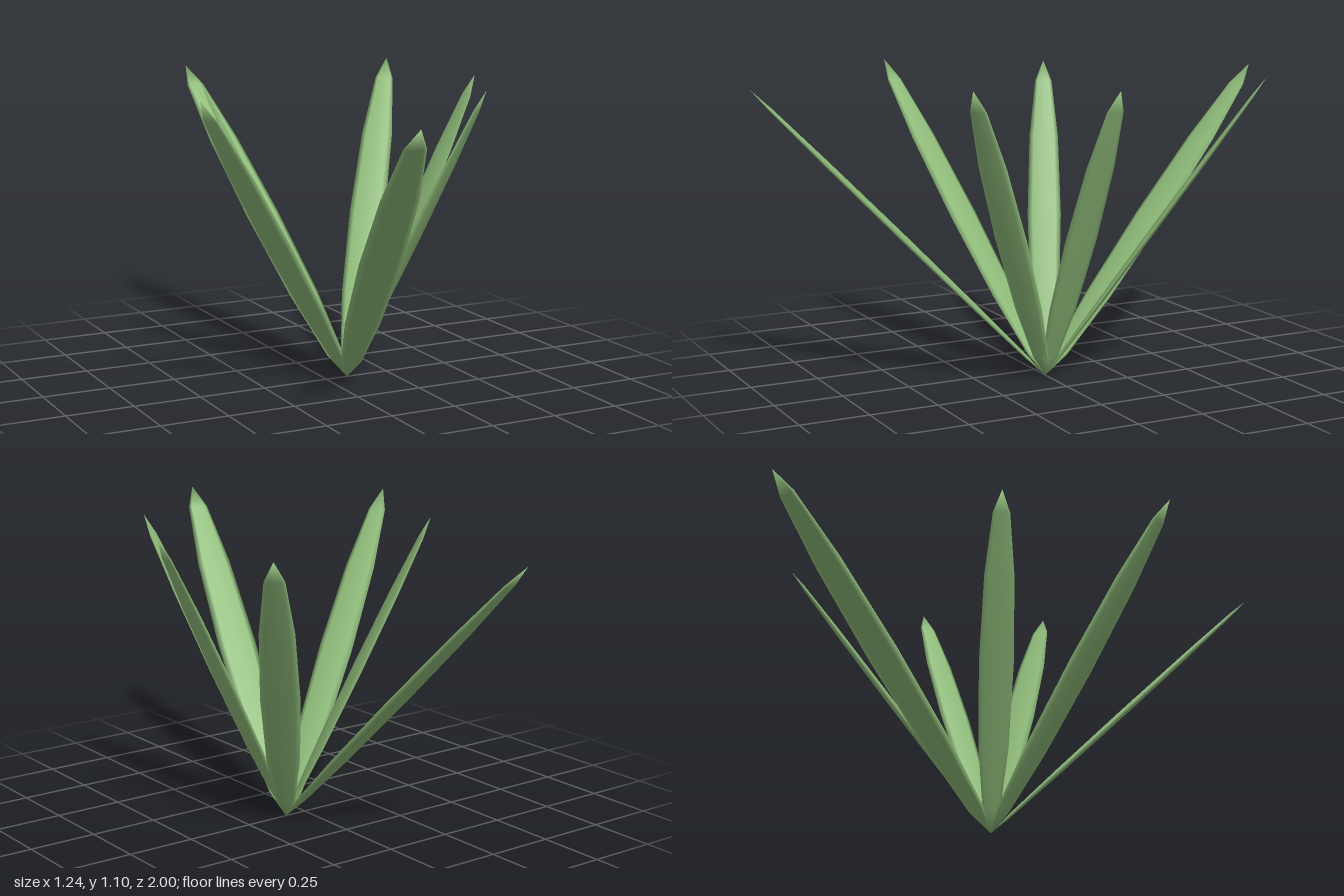
import * as THREE from 'three';

// All blades grow from one point
const BASE = new THREE.Vector3(0.085, 0, 0);

// Blade tips: x, y, z
const TIPS = [
  [0.615, 1.09, 0],
  [0.4, 1.09, 0.43],
  [-0.18, 1.065, 0.995],
  [-0.62, 1.1, 0.32],
  [-0.385, 1.09, -0.235],
  [-0.13, 1.065, -1.0],
  [0.57, 1.1, -0.6],
];

export function createModel() {
  const plant = new THREE.Group();
  plant.name = 'spikyPlant';
  const material = new THREE.MeshStandardMaterial({ color: 0x8fbc7a });

  // Unit blade: low-poly ball standing on its lower pole, stretched per leaf
  const blade = new THREE.SphereGeometry(1, 8, 6);
  blade.translate(0, 1, 0);

  TIPS.forEach((tip, i) => {
    const along = new THREE.Vector3(...tip).sub(BASE);
    const length = along.length();
    along.normalize();
    // Width stays level, thickness faces the plant's axis
    const across = new THREE.Vector3(along.z, 0, -along.x).normalize();
    const facing = new THREE.Vector3().crossVectors(across, along);

    const leaf = new THREE.Mesh(blade, material);
    leaf.name = `leaf${i + 1}`;
    leaf.quaternion.setFromRotationMatrix(new THREE.Matrix4().makeBasis(across, along, facing));
    leaf.scale.set(length * 0.051, length / 2, length * 0.008);
    leaf.position.copy(BASE);
    plant.add(leaf);
  });
  return plant;
}
